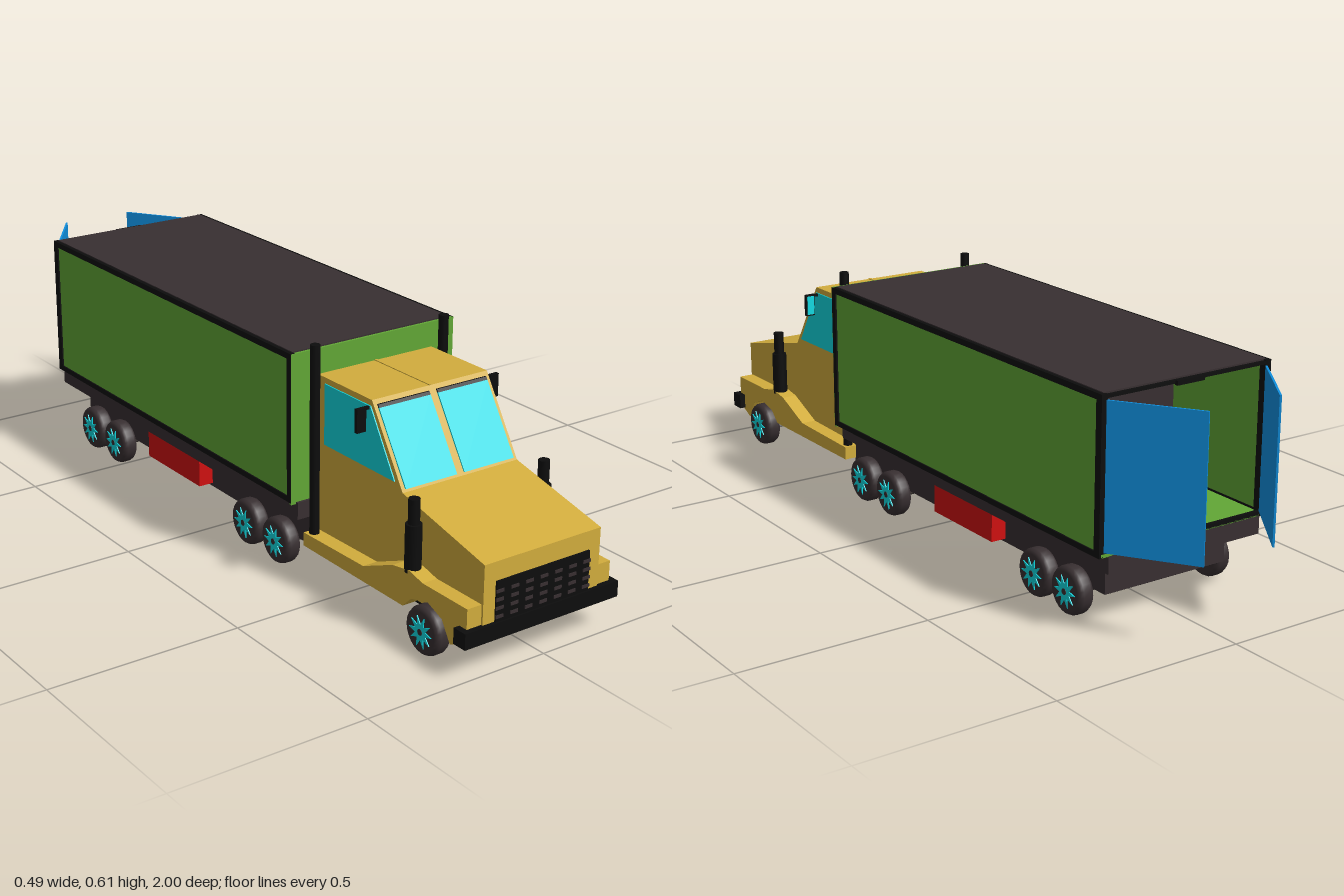
import * as THREE from 'three';

const paint = (name, color) => {
  const m = new THREE.MeshStandardMaterial({ color, side: THREE.DoubleSide });
  m.name = name;
  return m;
};

export function createModel() {
  const gold = paint('gold', 0xd2ad3d), green = paint('green', 0x62a736), black = paint('black', 0x0d0d0d);
  const grey = paint('darkGrey', 0x382f31), cyan = paint('cyan', 0x10dae2), blue = paint('blue', 0x1090e0);
  const red = paint('red', 0xd01010), silver = paint('silver', 0xbcbcbc), rod = paint('axleGrey', 0x4c443f);

  const model = new THREE.Group();
  model.name = 'boxTruck';
  const section = (name, x = 0) => {
    const g = new THREE.Group();
    g.name = name;
    g.position.x = x;
    model.add(g);
    return g;
  };
  const add = (parent, name, geometry, material) => {
    const m = new THREE.Mesh(geometry, material);
    m.name = name;
    parent.add(m);
    return m;
  };
  // box given by its limits on each axis
  const box = (parent, name, mat, x0, x1, y0, y1, z0, z1) => {
    const m = add(parent, name, new THREE.BoxGeometry(x1 - x0, y1 - y0, z1 - z0), mat);
    m.position.set((x0 + x1) / 2, (y0 + y1) / 2, (z0 + z1) / 2);
    return m;
  };
  // side outline of [z, y] points, extruded across x
  const profile = (parent, name, mat, pts, x0, x1) => {
    const shape = new THREE.Shape(pts.map(([z, y]) => new THREE.Vector2(z, y)));
    const g = new THREE.ExtrudeGeometry(shape, { depth: x1 - x0, bevelEnabled: false });
    g.rotateY(-Math.PI / 2);
    g.translate(x1, 0, 0);
    return add(parent, name, g, mat);
  };
  const tube = (parent, name, mat, r, y0, y1, x, z) => {
    const m = add(parent, name, new THREE.CylinderGeometry(r, r, y1 - y0, 16), mat);
    m.position.set(x, (y0 + y1) / 2, z);
    return m;
  };
  const axle = (parent, name, mat, r, half, z) => {
    const m = add(parent, name, new THREE.CylinderGeometry(r, r, half * 2, 16), mat);
    m.rotation.z = Math.PI / 2;
    m.position.set(0, 0.06, z);
  };

  // ---- cab ----
  const cab = section('cab', -0.0065);
  profile(cab, 'cabBody', gold, [[0.37, 0.087], [0.99, 0.087], [0.99, 0.267], [0.70, 0.333],
    [0.58, 0.522], [0.37, 0.522]], -0.172, 0.172);
  const fender = [[0.37, 0.085], [0.76, 0.085], [0.79, 0.115], [0.85, 0.13], [0.9, 0.11], [0.93, 0.06],
    [0.985, 0.085], [0.985, 0.17], [0.83, 0.17], [0.78, 0.182], [0.72, 0.172], [0.61, 0.125], [0.37, 0.12]];
  box(cab, 'cabFloor', black, -0.172, 0.172, 0.081, 0.087, 0.37, 0.98);
  box(cab, 'bumper', black, -0.229, 0.229, 0.08, 0.12, 0.96, 1.0);

  // grille with rows of slots
  box(cab, 'grille', black, -0.138, 0.138, 0.12, 0.22, 0.985, 0.995);
  for (let row = 0; row < 4; row++)
    for (let col = 0; col < 7; col++) {
      const x = (col - 3) * 0.043, y = 0.133 + row * 0.021;
      box(cab, 'grilleSlot', grey, x - 0.011, x + 0.011, y - 0.004, y + 0.004, 0.994, 0.997);
    }

  // plates lying on the sloped windscreen, given in front-view coordinates
  const screenPlate = (name, mat, x0, x1, y0, y1, lift) => {
    const at = y => 0.70 - (y - 0.333) * (0.12 / 0.189);
    profile(cab, name, mat, [[at(y0), y0], [at(y0) + lift, y0], [at(y1) + lift, y1], [at(y1), y1]], x0, x1);
  };
  for (const s of [-1, 1]) {
    const span = (a, b) => (s > 0 ? [a, b] : [-b, -a]);
    profile(cab, 'fender', gold, fender, ...span(0.171, 0.213));
    screenPlate('windscreenPane', cyan, ...span(0.011, 0.162), 0.34, 0.505, 0.004);
    screenPlate('windscreenSeal', black, ...span(0.011, 0.162), 0.505, 0.512, 0.004);
    profile(cab, 'sideWindow', cyan, [[0.40, 0.352], [0.672, 0.352], [0.578, 0.507], [0.40, 0.507]],
      ...span(0.171, 0.175));

    // mirror on its arm
    box(cab, 'mirrorArm', black, ...span(0.17, 0.2), 0.499, 0.506, 0.568, 0.576);
    box(cab, 'mirror', black, ...span(0.186, 0.212), 0.447, 0.506, 0.568, 0.578);
    box(cab, 'mirrorGlass', cyan, ...span(0.189, 0.209), 0.451, 0.502, 0.565, 0.569);

    // tall exhaust behind the doors, short intake beside the hood
    tube(cab, 'exhaustStack', black, 0.0125, 0.12, 0.606, s * 0.194, 0.388);
    tube(cab, 'intakeBase', black, 0.02, 0.172, 0.29, s * 0.194, 0.77);
    tube(cab, 'intakePipe', black, 0.014, 0.29, 0.352, s * 0.194, 0.77);
  }
  // centre seam of the roof
  box(cab, 'windscreenPost', gold, -0.004, 0.004, 0.515, 0.524, 0.37, 0.58);

  // ---- cargo box, open at the back ----
  const cargo = section('cargoBox');
  const Z0 = -0.81, Z1 = 0.355;
  box(cargo, 'frontWall', green, -0.246, 0.246, 0.193, 0.58, 0.348, Z1);
  box(cargo, 'floor', green, -0.24, 0.24, 0.197, 0.206, Z0, 0.35);
  box(cargo, 'ceiling', black, -0.243, 0.243, 0.57, 0.578, Z0, 0.353);
  box(cargo, 'roof', grey, -0.236, 0.236, 0.578, 0.582, -0.802, 0.345);
  box(cargo, 'partition', grey, -0.236, 0.236, 0.206, 0.57, -0.48, -0.47);
  box(cargo, 'rearSill', black, -0.24, 0.24, 0.197, 0.21, Z0, -0.8);
  box(cargo, 'rearLatch', black, -0.04, 0.04, 0.567, 0.578, -0.818, -0.808);
  for (const s of [-1, 1]) {
    const span = (a, b) => (s > 0 ? [a, b] : [-b, -a]);
    box(cargo, 'sideWall', green, ...span(0.236, 0.242), 0.2, 0.575, Z0 + 0.005, 0.35);
    box(cargo, 'topRail', black, ...span(0.234, 0.246), 0.565, 0.58, Z0, 0.352);
    box(cargo, 'bottomRail', black, ...span(0.234, 0.246), 0.197, 0.211, Z0, 0.352);
    box(cargo, 'frontPost', black, ...span(0.234, 0.2465), 0.197, 0.58, 0.337, 0.3535);
    box(cargo, 'rearPost', black, ...span(0.23, 0.246), 0.197, 0.58, Z0, -0.79);

    // rear door swung half open
    const dx = -s * 0.13, dz = -0.188, len = Math.hypot(dx, dz);
    const door = add(cargo, 'rearDoor', new THREE.BoxGeometry(0.005, 0.357, len), blue);
    door.position.set(s * 0.232 + dx / 2, 0.388, Z0 + dz / 2);
    door.rotation.y = Math.atan2(dx, dz);
  }

  // ---- chassis ----
  const chassis = section('chassis', -0.0065);
  box(chassis, 'deckFrame', grey, -0.225, 0.225, 0.153, 0.198, Z0, 0.362);
  box(chassis, 'lowerFrame', grey, -0.18, 0.18, 0.07, 0.155, -0.742, 0.372);
  box(chassis, 'underside', black, -0.165, 0.165, 0.066, 0.071, -0.735, 0.37);
  for (const s of [-1, 1]) {
    const span = (a, b) => (s > 0 ? [a, b] : [-b, -a]);
    box(chassis, 'toolBox', red, ...span(0.16, 0.221), 0.079, 0.167, -0.346, -0.09);
  }

  // ---- wheels ----
  const wheels = section('wheels', -0.0065);
  const star = new THREE.Shape();
  for (let i = 0; i < 20; i++) {
    const r = i % 2 ? 0.019 : 0.04, a = (i * Math.PI) / 10;
    star[i ? 'lineTo' : 'moveTo'](r * Math.cos(a), r * Math.sin(a));
  }
  const hubGeometry = new THREE.ExtrudeGeometry(star, { depth: 0.003, bevelEnabled: false });
  // tyre with rounded shoulders, turned about its axle
  const tyre = new THREE.LatheGeometry([[0, -0.022], [0.048, -0.022], [0.056, -0.018], [0.06, -0.01],
    [0.06, 0.01], [0.056, 0.018], [0.048, 0.022], [0, 0.022]].map(p => new THREE.Vector2(...p)), 24);
  tyre.rotateZ(-Math.PI / 2);
  [0.847, 0.265, 0.13, -0.525, -0.655].forEach((z, i) => {
    axle(wheels, i ? 'rearAxle' : 'frontAxle', i ? rod : silver, i ? 0.015 : 0.02, 0.19, z);
    for (const s of [-1, 1]) {
      const wheel = new THREE.Group();
      wheel.name = 'wheel';
      wheel.position.set(s * 0.207, 0.06, z);
      wheels.add(wheel);
      add(wheel, 'tyre', tyre, grey);
      const hub = add(wheel, 'hubStar', hubGeometry, cyan);
      hub.rotation.y = (s * Math.PI) / 2;
      hub.position.x = s * 0.0215;
      const cap = add(wheel, 'hubCap', new THREE.CylinderGeometry(0.008, 0.008, 0.004, 12), grey);
      cap.rotation.z = Math.PI / 2;
      cap.position.x = s * 0.0235;
    }
  });

  return model;
}
